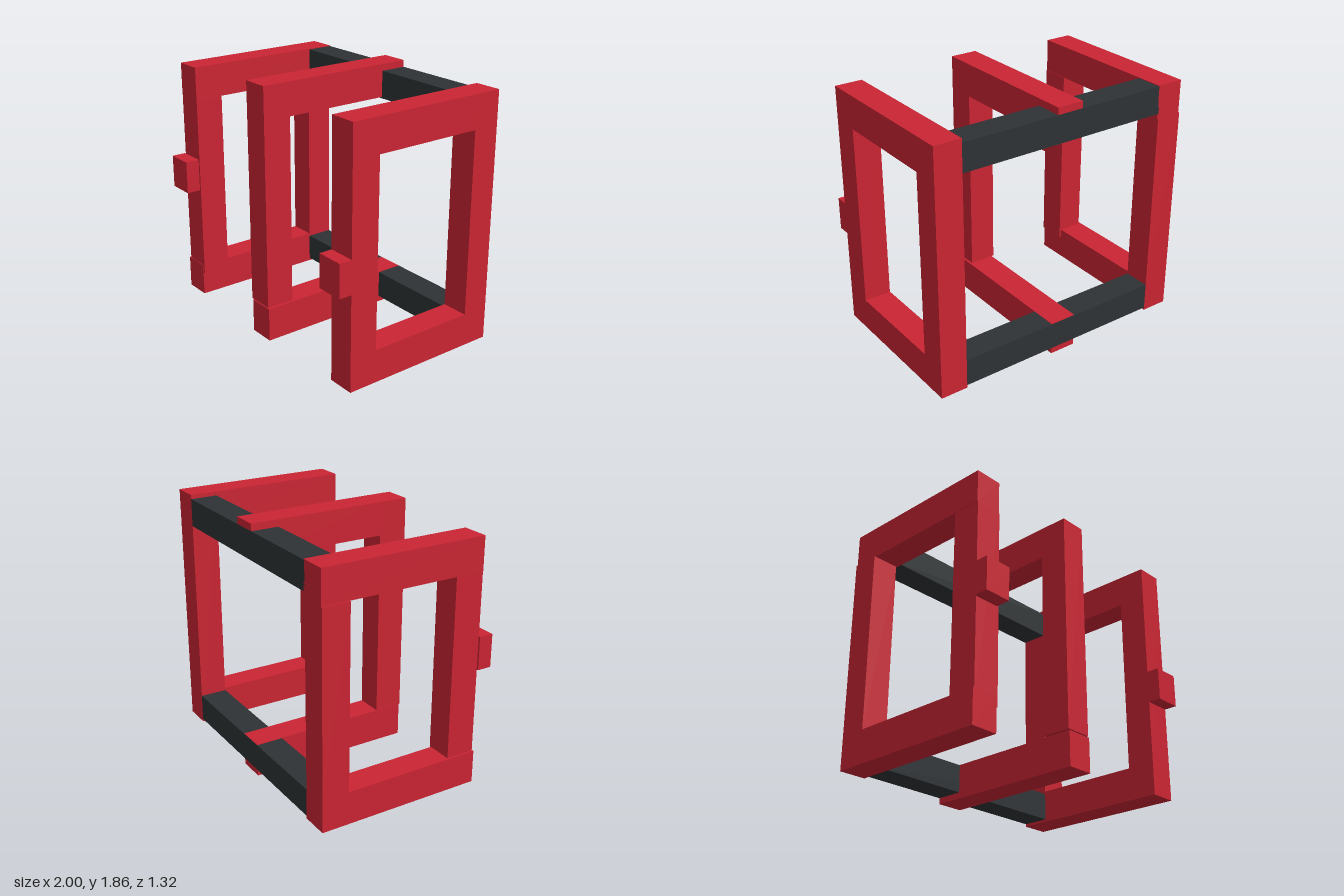
import * as THREE from 'three';

const red = new THREE.MeshStandardMaterial({ color: 0xc92432 });
const dark = new THREE.MeshStandardMaterial({ color: 0x2e3234 });

// Box given by its extents on each axis
function bar(parent, name, [x0, x1], [y0, y1], [z0, z1], material = red) {
  const mesh = new THREE.Mesh(new THREE.BoxGeometry(x1 - x0, y1 - y0, z1 - z0), material);
  mesh.position.set((x0 + x1) / 2, (y0 + y1) / 2, (z0 + z1) / 2);
  mesh.name = name;
  parent.add(mesh);
}

function frame(parent, name) {
  const group = new THREE.Group();
  group.name = name;
  parent.add(group);
  return group;
}

export function createModel() {
  const model = new THREE.Group();
  model.name = 'openFrame';
  const depth = [-0.66, 0.555];
  const frontZ = [0.345, 0.556];
  const rearZ = [-0.66, -0.46];

  // Right side frame: upper bars sit slightly off the lower ones
  const right = frame(model, 'rightFrame');
  bar(right, 'topBar', [-0.99, -0.79], [1.575, 1.815], depth);
  bar(right, 'frontPost', [-0.986, -0.787], [0.2, 1.575], frontZ);
  bar(right, 'rearPost', [-1, -0.8], [0.265, 1.575], rearZ);
  bar(right, 'bottomBar', [-1, -0.8], [0.025, 0.265], [-0.66, 0.56]);
  bar(right, 'frontBlock', [-1, -0.8], [0.88, 1.12], [0.555, 0.66]);

  // Left side frame
  const left = frame(model, 'leftFrame');
  const leftX = [0.8, 1];
  bar(left, 'topBar', leftX, [1.6, 1.84], [-0.46, 0.555]);
  bar(left, 'frontPost', leftX, [0.265, 1.6], [0.345, 0.555]);
  bar(left, 'rearPost', leftX, [0.025, 1.84], rearZ);
  bar(left, 'bottomBar', leftX, [0.025, 0.265], [-0.46, 0.555]);
  bar(left, 'frontBlock', leftX, [0.725, 0.965], [0.555, 0.65]);

  // Middle frame: open at the rear, with a small gap above the bottom bar
  const middle = frame(model, 'middleFrame');
  bar(middle, 'topBar', [-0.125, 0.075], [1.62, 1.86], [-0.658, 0.345]);
  bar(middle, 'frontPost', [-0.125, 0.075], [0.255, 1.86], [0.345, 0.555]);
  bar(middle, 'bottomBar', [-0.115, 0.085], [0, 0.247], [-0.658, 0.555]);

  // Rear cross beams
  bar(model, 'topBeam', [-0.8, 0.8], [1.61, 1.81], rearZ, dark);
  bar(model, 'bottomBeam', [-0.8, 0.8], [0.045, 0.245], rearZ, dark);
  return model;
}
